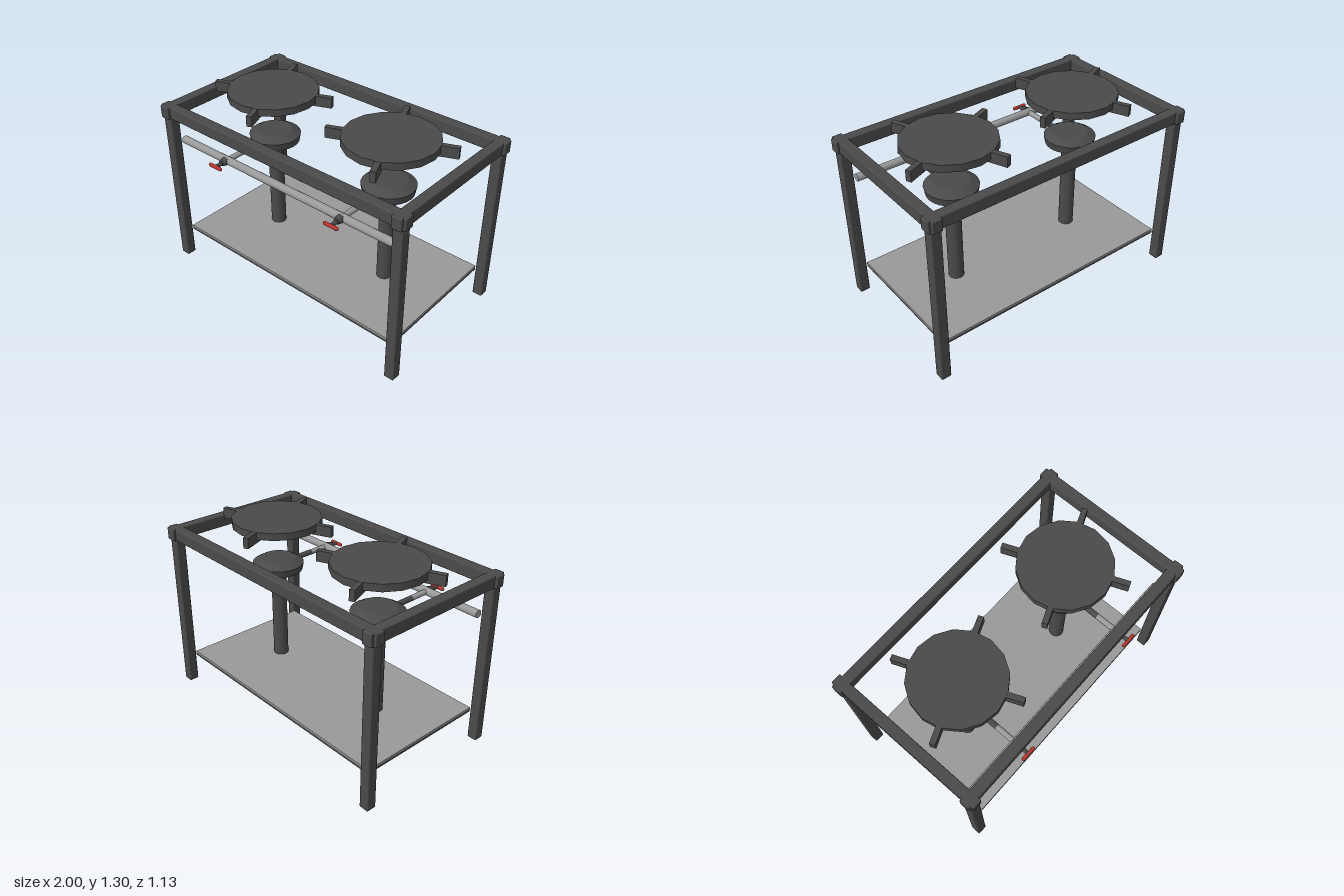
import * as THREE from 'three';
import { RoundedBoxGeometry } from 'three/addons/geometries/RoundedBoxGeometry.js';

const material = (name, color) => {
  const m = new THREE.MeshStandardMaterial({ color });
  m.name = name;
  return m;
};

export function createModel() {
  const iron = material('dark iron', 0x4a4a4a);
  const steel = material('light steel', 0x999999);
  const red = material('valve red', 0xb8342c);
  const model = new THREE.Group();
  model.name = 'twoBurnerStove';

  const add = (parent, name, geometry, mat, x = 0, y = 0, z = 0) => {
    const mesh = new THREE.Mesh(geometry, mat);
    mesh.name = name;
    mesh.position.set(x, y, z);
    parent.add(mesh);
    return mesh;
  };
  const bar = (w, h, d, r = 0.008) => new RoundedBoxGeometry(w, h, d, 2, r);
  const rodX = (r, length) => new THREE.CylinderGeometry(r, r, length, 16).rotateZ(Math.PI / 2);
  const rodZ = (r1, r2, length) => new THREE.CylinderGeometry(r1, r2, length, 16).rotateX(Math.PI / 2);

  // Frame: rails cross at the corners and stick out a little
  for (const s of [-1, 1]) {
    add(model, 'longRail', bar(2, 0.085, 0.07), iron, 0, 1.184, s * 0.51);
    add(model, 'sideRail', bar(0.07, 0.085, 1.13), iron, s * 0.948, 1.184, 0);
    for (const t of [-1, 1]) {
      add(model, 'leg', bar(0.07, 1.18, 0.07), iron, s * 0.948, 0.59, t * 0.51);
    }
  }

  // Shelf: light sheet on a dark tray
  add(model, 'shelfTray', new THREE.BoxGeometry(1.82, 0.018, 0.95), iron, 0, 0.214, 0);
  add(model, 'shelfSheet', new THREE.BoxGeometry(1.82, 0.014, 0.95), steel, 0, 0.23, 0);

  // Gas supply pipe
  add(model, 'gasPipe', rodX(0.027, 1.82), steel, 0, 0.95, 0.45);

  // Burners
  for (const x of [-0.49, 0.49]) {
    const burner = new THREE.Group();
    burner.name = 'burner';
    burner.position.x = x;
    model.add(burner);

    add(burner, 'pillar', new THREE.CylinderGeometry(0.053, 0.053, 0.93, 24), iron, 0, 0.465, 0);

    // Burner head: short flared rim with a bevelled top
    add(burner, 'headRim', new THREE.CylinderGeometry(0.178, 0.168, 0.052, 24), iron, 0, 0.941, 0);
    add(burner, 'headTop', new THREE.CylinderGeometry(0.12, 0.178, 0.033, 24), iron, 0, 0.9835, 0);

    // Pot plate with four radial support arms
    const plate = new THREE.CylinderGeometry(0.309, 0.309, 0.05, 16);
    plate.rotateY(Math.PI / 90);
    add(burner, 'potPlate', plate.toNonIndexed(), iron, 0, 1.275, 0);
    for (let i = 0; i < 4; i++) {
      const pivot = new THREE.Group();
      pivot.name = 'supportArm';
      pivot.rotation.y = Math.PI / 8 + i * Math.PI / 2;
      burner.add(pivot);
      add(pivot, 'armBlade', new THREE.BoxGeometry(0.275, 0.073, 0.037), iron, 0.2775, 1.2625, 0);
    }

    // Feed pipe from the supply to the head
    add(burner, 'feedPipeFront', rodZ(0.019, 0.019, 0.15), steel, 0, 0.95, 0.375);
    add(burner, 'feedPipeBack', rodZ(0.019, 0.019, 0.2), iron, 0, 0.95, 0.2);

    // Valve and its handle
    add(burner, 'valveBody', rodZ(0.02, 0.03, 0.04), iron, 0, 0.95, 0.485);
    add(burner, 'valveStem', rodZ(0.013, 0.013, 0.06), iron, 0, 0.947, 0.52);
    add(burner, 'valveHandle', bar(0.11, 0.024, 0.022, 0.009), red, 0, 0.946, 0.554);
  }
  return model;
}
